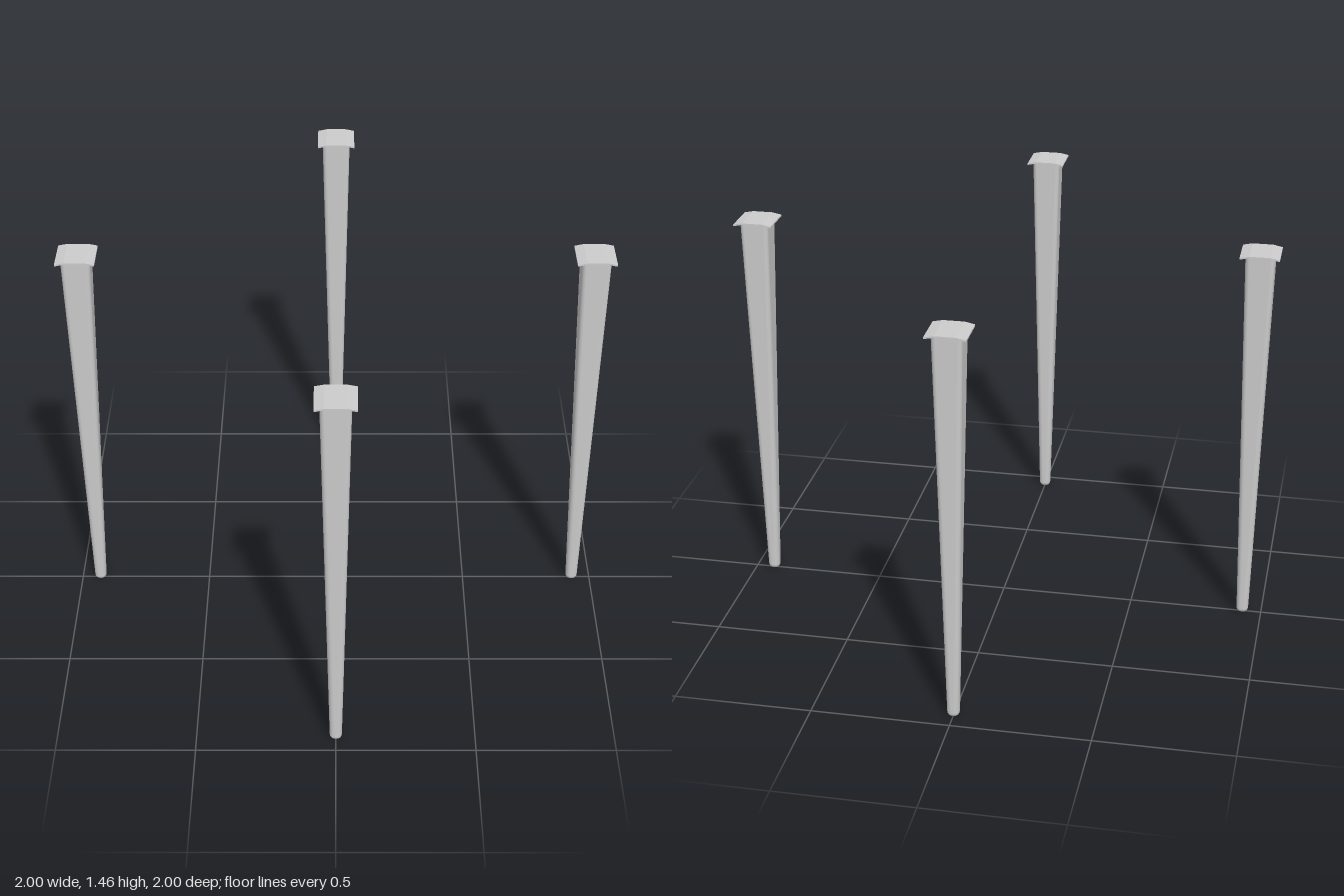
import * as THREE from 'three';

const CORNER_STEPS = 6;

// One level of the leg: a square of half width h with corners of radius r
function ring(y, h, r) {
  const points = [];
  for (let c = 0; c < 4; c++) {
    const mid = Math.PI / 4 + c * Math.PI / 2;
    const cx = Math.sign(Math.cos(mid)) * (h - r);
    const cz = Math.sign(Math.sin(mid)) * (h - r);
    for (let s = 0; s <= CORNER_STEPS; s++) {
      const a = (c + s / CORNER_STEPS) * Math.PI / 2;
      points.push(cx + r * Math.cos(a), y, cz + r * Math.sin(a));
    }
  }
  return points;
}

// Tapered leg: rounded foot, then a straight taper up to the plate
function legGeometry() {
  const levels = [];
  const foot = 0.018;
  for (let i = 0; i <= 5; i++) {
    const a = i / 5 * Math.PI / 2;
    const h = 0.004 + foot * Math.sin(a);
    levels.push([foot * (1 - Math.cos(a)), h, h * 0.85]);
  }
  for (let i = 1; i <= 6; i++) {
    const t = i / 6;
    levels.push([foot + (1.455 - foot) * t, 0.022 + 0.031 * t, 0.0187 - 0.003 * t]);
  }
  levels.unshift([0, 0, 0]);

  const n = 4 * (CORNER_STEPS + 1);
  const index = [];
  for (let i = 0; i < levels.length - 1; i++) {
    for (let j = 0; j < n; j++) {
      const a = i * n + j, b = i * n + (j + 1) % n;
      if (i > 0) index.push(a, a + n, b);
      index.push(b, a + n, b + n);
    }
  }
  const geometry = new THREE.BufferGeometry();
  const positions = levels.flatMap(([y, h, r]) => ring(y, h, r));
  geometry.setAttribute('position', new THREE.Float32BufferAttribute(positions, 3));
  geometry.setIndex(index);
  geometry.computeVertexNormals();
  // The pole of the foot faces straight down
  for (let j = 0; j < n; j++) geometry.attributes.normal.setXYZ(j, 0, -1, 0);
  return geometry;
}

// Thin square plate whose two side edges dip slightly
function plateGeometry() {
  const w = 0.071, flat = 0.037, t = 0.006;
  const shape = new THREE.Shape([
    [-w, 1.449], [-flat, 1.456], [flat, 1.456], [w, 1.449],
    [w, 1.449 + t], [flat, 1.456 + t], [-flat, 1.456 + t], [-w, 1.449 + t],
  ].map(([x, y]) => new THREE.Vector2(x, y)));
  return new THREE.ExtrudeGeometry(shape, { depth: 2 * w, bevelEnabled: false }).translate(0, 0, -w);
}

export function createModel() {
  const model = new THREE.Group();
  model.name = 'tableLegs';
  const material = new THREE.MeshStandardMaterial({ color: 0xcccccc });
  const leg = legGeometry();
  const plate = plateGeometry();
  const d = 0.929;

  // Four identical legs set in a diamond
  const places = { left: [d, 0], right: [-d, 0], front: [0, d], back: [0, -d] };
  for (const [side, [x, z]] of Object.entries(places)) {
    const group = new THREE.Group();
    group.name = side + 'Leg';
    group.position.set(x, 0, z);
    const post = new THREE.Mesh(leg, material);
    post.name = 'taperedPost';
    const top = new THREE.Mesh(plate, material);
    top.name = 'mountingPlate';
    group.add(post, top);
    model.add(group);
  }
  return model;
}
